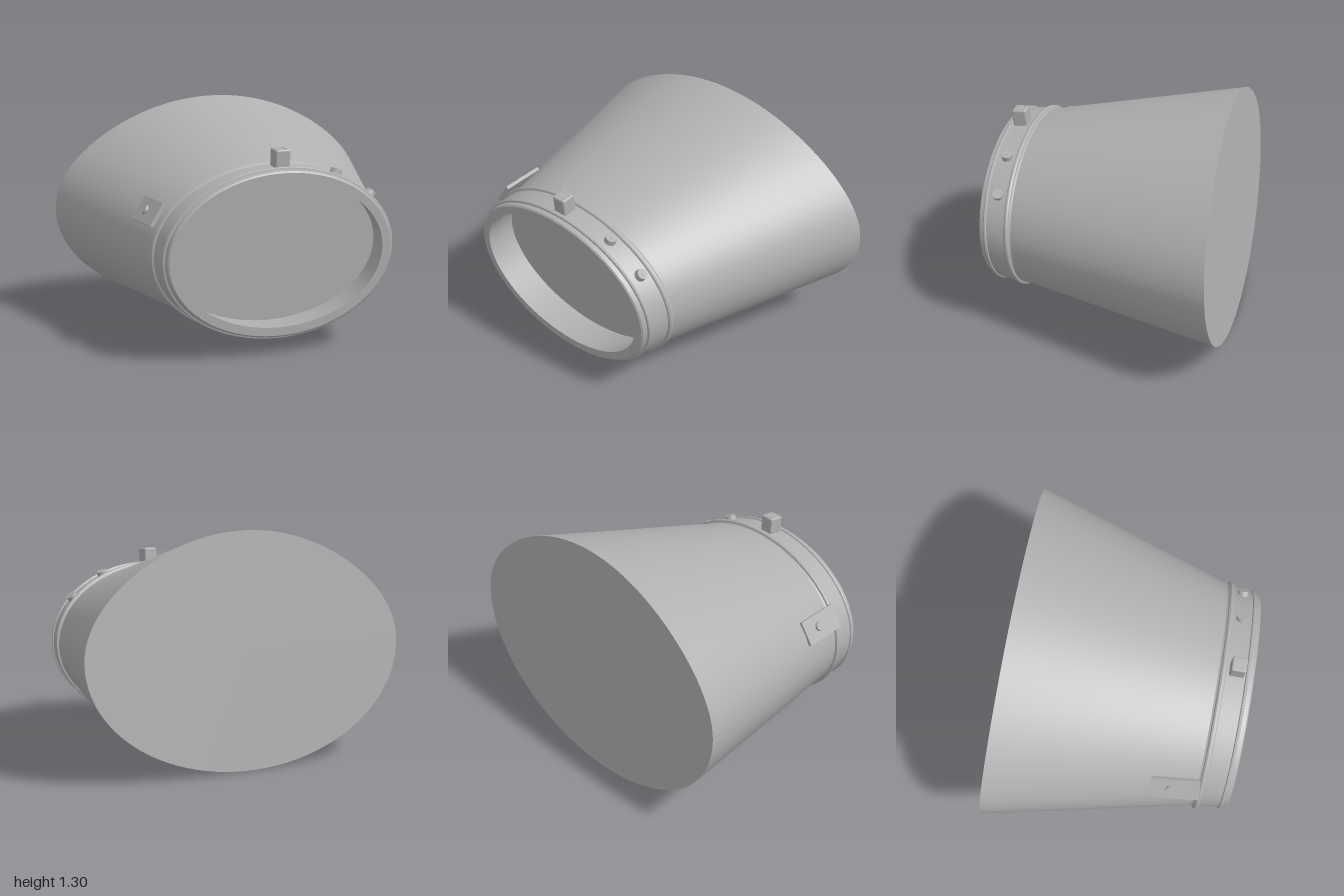
import * as THREE from 'three';
import { RoundedBoxGeometry } from 'three/addons/geometries/RoundedBoxGeometry.js';

const N = 96;
const V = (x, y, z) => new THREE.Vector3(x, y, z);
const lerp = THREE.MathUtils.lerp;

// Point on the tilted oval collar: angle t, depth d behind the rim, offset outward
function collarPoint(t, d, off, scale = 1) {
  const k = d / 0.2;
  const dx = (lerp(0.635, 0.672, k) + off) * Math.cos(t) * scale;
  const dy = (lerp(0.453, 0.468, k) + off) * Math.sin(t) * scale;
  return V(lerp(-0.19, -0.165, k) + dx, lerp(0.555, 0.56, k) + dy,
    0.69 - d + 0.085 * dx + 0.065 * dy);
}

// Point on the large, slightly egg-shaped back outline
function backPoint(t, scale = 1) {
  const flat = Math.sin(t) > 0 ? 1 - 0.03 * Math.sin(2 * t) ** 2 : 1;
  const dx = Math.cos(t) * flat * scale, dy = 0.65 * Math.sin(t) * flat * scale;
  return V(dx, 0.65 + dy, -0.667 + 0.085 * dx + 0.083 * dy);
}

// Skin a series of closed sections; each section maps an angle to a point
function loft(sections) {
  const pos = [], idx = [];
  sections.forEach((section, i) => {
    for (let j = 0; j < N; j++) {
      pos.push(...section((j / N) * Math.PI * 2).toArray());
      if (i === 0) continue;
      const a = (i - 1) * N + j, b = (i - 1) * N + (j + 1) % N;
      idx.push(a, a + N, b, b, a + N, b + N);
    }
  });
  const g = new THREE.BufferGeometry();
  g.setAttribute('position', new THREE.Float32BufferAttribute(pos, 3));
  g.setIndex(idx);
  g.computeVertexNormals();
  return g;
}

export function createModel() {
  const model = new THREE.Group();
  const grey = new THREE.MeshStandardMaterial({ color: 0xb0b0b0 });
  grey.name = 'plain grey';
  const add = (geometry, name, parent = model) => {
    const m = new THREE.Mesh(geometry, grey);
    m.name = name;
    parent.add(m);
    return m;
  };
  // Place a group with its y axis along the given normal and z along the body
  const mount = (name, position, normal, along) => {
    const g = new THREE.Group();
    g.name = name;
    const y = normal.clone().normalize();
    const x = y.clone().cross(along).normalize();
    const z = x.clone().cross(y);
    g.quaternion.setFromRotationMatrix(new THREE.Matrix4().makeBasis(x, y, z));
    g.position.copy(position);
    model.add(g);
    return g;
  };

  // Flaring body, gently hollow underneath
  const rows = [];
  for (let i = 0; i <= 24; i++) {
    const s = i / 24;
    rows.push((t) => {
      const a = collarPoint(t, 0.2, 0), b = backPoint(t);
      const sy = Math.sin(t) < 0 ? s ** (1 - 0.25 * Math.sin(t)) : s;
      return V(lerp(a.x, b.x, s), lerp(a.y, b.y, sy), lerp(a.z, b.z, s));
    });
  }
  add(loft(rows), 'flaredBody');
  add(loft([(t) => backPoint(t), (t) => backPoint(t, 0)]), 'backCap');

  // Collar: [depth, offset] from the recess floor, round the lip, over both beads
  const profile = [
    [0.2, -0.055], [0.1, -0.055], [0, -0.055], [0, -0.008], [0.006, 0], [0.03, 0.003],
    [0.032, 0.012], [0.038, 0.016], [0.046, 0.014], [0.05, 0.006], [0.158, 0.006],
    [0.162, 0.016], [0.17, 0.02], [0.178, 0.02], [0.186, 0.015], [0.19, 0.003], [0.205, -0.004],
  ];
  const collar = new THREE.Group();
  collar.name = 'collar';
  model.add(collar);
  for (let i = 1; i < profile.length; i++) {
    add(loft([profile[i - 1], profile[i]].map(([d, o]) => (t) => collarPoint(t, d, o))),
      'collarBand' + i, collar);
  }
  add(loft([(t) => collarPoint(t, 0.2, -0.055, 0), (t) => collarPoint(t, 0.2, -0.055)]), 'recessFloor');

  // Block on top of the collar, with small raised dots
  const axis = V(-0.085, -0.065, 1);
  const block = mount('topBlock', collarPoint(Math.PI / 2, 0.1, 0.05), V(0, 1, 0.08), axis);
  add(new RoundedBoxGeometry(0.085, 0.1, 0.085, 3, 0.01), 'block', block);
  for (const x of [-0.02, 0.02]) {
    for (const z of [-0.02, 0.02]) {
      add(new THREE.CylinderGeometry(0.006, 0.006, 0.004, 12), 'blockDot', block).position.set(x, 0.051, z);
    }
  }

  // Two round buttons on the collar's left shoulder
  for (const t of [1.06, 0.64]) {
    const normal = V(Math.cos(t) / 0.65, Math.sin(t) / 0.46, 0);
    const button = mount('button', collarPoint(t, 0.11, 0.018), normal, axis);
    add(new THREE.CylinderGeometry(0.03, 0.033, 0.03, 32), 'buttonBody', button);
    add(new THREE.CylinderGeometry(0.006, 0.006, 0.004, 12), 'buttonDot', button).position.y = 0.016;
  }

  // Flat clip plate with a stud, behind the collar on the right side
  const clip = mount('clip', V(-0.81, 0.782, 0.328), V(-0.83, 0.55, 0), V(0.06, -0.03, 1));
  add(new THREE.BoxGeometry(0.14, 0.02, 0.27), 'clipPlate', clip);
  add(new THREE.CylinderGeometry(0.026, 0.028, 0.016, 32), 'clipStud', clip).position.set(0, 0.015, -0.025);

  return model;
}
